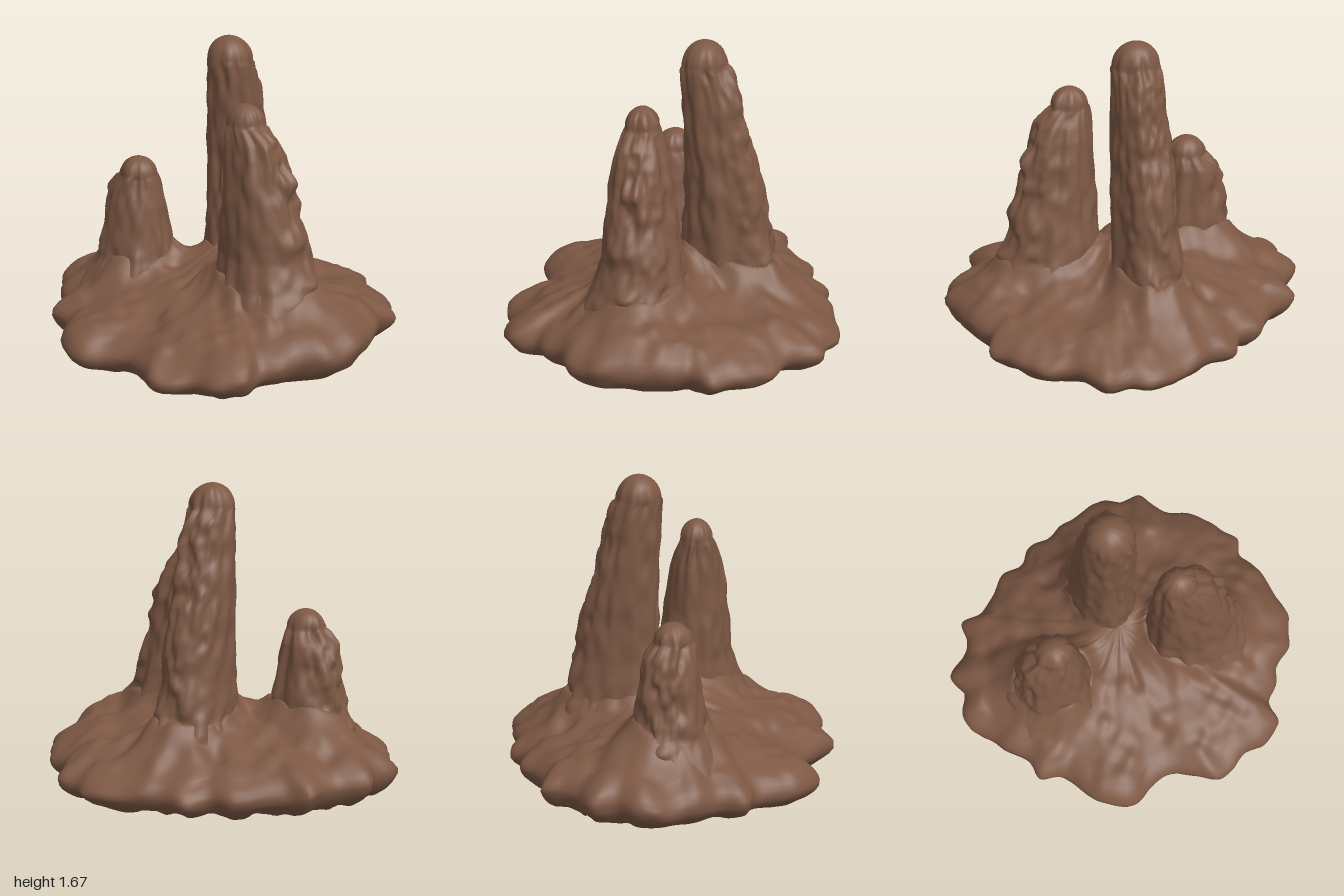
import * as THREE from 'three';

// Seeded value noise, range -1..1
const hash = (x, y, z) => {
  const s = Math.sin(x * 127.1 + y * 311.7 + z * 74.7) * 43758.5453;
  return (s - Math.floor(s)) * 2 - 1;
};
const lerp = THREE.MathUtils.lerp;
function noise(x, y, z) {
  const i = Math.floor(x), j = Math.floor(y), k = Math.floor(z);
  const f = t => t * t * (3 - 2 * t);
  const u = f(x - i), v = f(y - j), w = f(z - k);
  const row = (b, c) => lerp(hash(i, j + b, k + c), hash(i + 1, j + b, k + c), u);
  return lerp(lerp(row(0, 0), row(1, 0), v), lerp(row(0, 1), row(1, 1), v), w);
}

// Smooth skin over closed rings of [x, y, z] points
function skin(rings) {
  const n = rings[0].length, index = [];
  for (let r = 0; r < rings.length - 1; r++) {
    for (let i = 0; i < n; i++) {
      const a = r * n + i, b = r * n + (i + 1) % n;
      index.push(a, a + n, b, b, a + n, b + n);
    }
  }
  const g = new THREE.BufferGeometry();
  g.setAttribute('position', new THREE.Float32BufferAttribute(rings.flat(2), 3));
  g.setIndex(index);
  g.computeVertexNormals();
  return g;
}

// Lobed outline of the mound, x and z in turn
const OUTLINE = [
  1.0, 0.17, 0.95, 0.32, 0.83, 0.42, 0.79, 0.52, 0.72, 0.6, 0.73, 0.73, 0.62, 0.82, 0.48, 0.84,
  0.39, 0.9, 0.29, 0.93, 0.18, 0.87, 0.05, 0.82, -0.08, 0.85, -0.2, 0.92, -0.38, 0.87, -0.45, 0.78,
  -0.55, 0.65, -0.68, 0.62, -0.71, 0.5, -0.82, 0.4, -0.87, 0.33, -0.97, 0.23, -1.0, 0.13,
  -0.95, 0.02, -1.0, -0.1, -0.91, -0.2, -0.86, -0.3, -0.85, -0.41, -0.73, -0.44, -0.62, -0.53,
  -0.53, -0.64, -0.41, -0.66, -0.33, -0.77, -0.2, -0.78, -0.1, -0.84, 0.05, -0.9, 0.19, -0.93,
  0.3, -0.88, 0.42, -0.88, 0.52, -0.73, 0.66, -0.69, 0.76, -0.6, 0.82, -0.5, 0.89, -0.42,
  0.86, -0.3, 0.91, -0.22, 0.95, -0.1, 0.97, 0.02,
];

// Each spire: body keys [y, xMin, xMax, zMin, zMax], dome height, weathered side
const SPIRES = [
  { name: 'tallSpire', dome: 0.13, out: [0, -1], keys: [
    [0.2, -0.34, 0.28, -0.72, 0.1], [0.34, -0.26, 0.21, -0.62, 0.05], [0.45, -0.21, 0.165, -0.55, 0.01],
    [0.6, -0.19, 0.15, -0.5, 0], [0.8, -0.175, 0.145, -0.46, -0.015], [1, -0.17, 0.135, -0.415, -0.02],
    [1.2, -0.165, 0.13, -0.355, -0.015], [1.38, -0.16, 0.125, -0.32, -0.005], [1.48, -0.15, 0.12, -0.28, 0],
    [1.55, -0.14, 0.11, -0.235, 0]] },
  { name: 'middleSpire', dome: 0.11, out: [0.95, -0.3], keys: [
    [0.2, 0.0, 0.84, -0.25, 0.5], [0.34, 0.08, 0.75, -0.18, 0.41], [0.45, 0.125, 0.695, -0.14, 0.35],
    [0.6, 0.14, 0.645, -0.11, 0.31], [0.8, 0.15, 0.595, -0.07, 0.295], [1, 0.155, 0.53, -0.04, 0.275],
    [1.12, 0.16, 0.5, -0.02, 0.255], [1.2, 0.165, 0.46, 0.005, 0.24], [1.25, 0.17, 0.41, 0.03, 0.23],
    [1.28, 0.175, 0.375, 0.045, 0.22]] },
  { name: 'shortSpire', dome: 0.1, out: [-1, -0.1], keys: [
    [0.2, -0.82, -0.1, -0.14, 0.51], [0.34, -0.74, -0.18, -0.07, 0.42], [0.45, -0.68, -0.225, -0.02, 0.36],
    [0.6, -0.65, -0.25, 0, 0.33], [0.74, -0.625, -0.27, 0.015, 0.31], [0.84, -0.59, -0.295, 0.03, 0.29],
    [0.88, -0.55, -0.305, 0.05, 0.28], [0.91, -0.525, -0.315, 0.07, 0.27]] },
];

// Height of the mound's upper face, swelling up to the foot of each spire
function moundTop(x, z, s) {
  let y = 0.385 - 0.2 * s ** 2.2 + 0.11 * x * x - 0.025 * Math.max(0, z);
  for (const { keys } of SPIRES) {
    const [, x0, x1, z0, z1] = keys[2];
    const rx = (x1 - x0) / 2, rz = (z1 - z0) / 2;
    const d = Math.hypot((x - (x0 + x1) / 2) / rx, (z - (z0 + z1) / 2) / rz) - 1;
    y += 0.12 * Math.exp(-Math.max(0, d) * (rx + rz) / 2 / 0.08);
  }
  // Broad lumps, small pits and creases running down the slope
  const a = Math.atan2(z, x), c = Math.cos(a), t = Math.sin(a);
  return y + Math.min(1, s * 4) * (0.035 * noise(x * 5 + 9, 1, z * 5) + 0.014 * noise(x * 13, 2, z * 13)
    + 0.016 * noise(c * 7, s * 3, t * 7));
}

function moundGeometry() {
  const pts = [];
  for (let i = 0; i < OUTLINE.length; i += 2) pts.push(new THREE.Vector3(OUTLINE[i], 0, OUTLINE[i + 1]));
  const edge = new THREE.CatmullRomCurve3(pts, true).getPoints(300).slice(0, 300);
  const rings = [];
  const low = (p, s) => 0.025 + (0.03 + 0.05 * p.x * p.x - 0.02 * p.z) * s ** 3;
  // Shallow underside with slanting grooves, from the middle outwards
  for (let k = 0; k <= 24; k++) {
    const s = 0.9 * k / 24;
    rings.push(edge.map(p => {
      const x = p.x * s, z = p.z * s;
      const y = low(p, s) + 0.016 * noise((x + z) * 5, 3, (z - x) * 13);
      return [x, Math.max(0, y), z];
    }));
  }
  // Rounded, tapering rim: [scale, share of the way up]
  for (const [s, t] of [[0.945, 0.1], [0.975, 0.22], [0.993, 0.35], [1, 0.48], [0.99, 0.62], [0.968, 0.76],
    [0.94, 0.88], [0.91, 0.96]]) {
    rings.push(edge.map(p => {
      const q = s + 0.022 * noise(p.x * 8, t * 3, p.z * 8) * (1 - Math.abs(t - 0.48));
      const r = Math.min(q, 1);
      return [p.x * r, lerp(low(p, s), moundTop(p.x * 0.9, p.z * 0.9, 0.9), t), p.z * r];
    }));
  }
  // Lumpy upper face, from the rim to the middle
  for (let k = 0; k <= 50; k++) {
    const s = 0.88 * (1 - k / 50);
    rings.push(edge.map(p => [p.x * s, moundTop(p.x * s, p.z * s, s), p.z * s]));
  }
  return skin(rings);
}

function spireGeometry({ keys, dome, out }, seed) {
  const rings = [], sides = 84;
  const addRing = (key, scale, y, rough) => {
    const [, x0, x1, z0, z1] = key;
    const cx = (x0 + x1) / 2, cz = (z0 + z1) / 2;
    const ring = [];
    for (let i = 0; i < sides; i++) {
      const a = i / sides * Math.PI * 2, c = Math.cos(a), s = Math.sin(a);
      const face = Math.max(0, c * out[0] + s * out[1]);
      // Vertical flutes all round, stacked drips on the weathered side
      const flute = 0.012 * noise(c * 3.5 + seed, y * 2, s * 3.5) + 0.011 * noise(c * 5, y * 9 + seed, s * 5);
      const drip = face * (0.022 * noise(c * 2 + seed, y * 10, s * 2) + 0.014 * noise(c * 5, y * 17, s * 5 + seed));
      const d = rough * (flute + drip);
      ring.push([cx + c * ((x1 - x0) / 2 * scale + d), y, cz + s * ((z1 - z0) / 2 * scale + d)]);
    }
    rings.push(ring);
  };
  for (let k = 0; k < keys.length - 1; k++) {
    const steps = Math.ceil((keys[k + 1][0] - keys[k][0]) / 0.015);
    for (let j = 0; j < steps; j++) {
      const key = keys[k].map((v, n) => lerp(v, keys[k + 1][n], j / steps));
      addRing(key, 1, key[0], key[0] < 0.5 ? 1.4 : 1.1);
    }
  }
  // Smooth rounded tip
  const top = keys[keys.length - 1];
  for (let j = 0; j <= 12; j++) {
    const a = j / 12 * Math.PI / 2;
    addRing(top, Math.cos(a), top[0] + dome * Math.sin(a), 0.5 * Math.cos(a) ** 2);
  }
  return skin(rings);
}

export function createModel() {
  const group = new THREE.Group();
  group.name = 'rockSpires';
  const rock = new THREE.MeshStandardMaterial({ color: 0x7d5844 });
  rock.name = 'brownRock';
  const add = (name, geometry) => {
    const mesh = new THREE.Mesh(geometry, rock);
    mesh.name = name;
    group.add(mesh);
  };
  add('mound', moundGeometry());
  SPIRES.forEach((spire, i) => add(spire.name, spireGeometry(spire, i * 17 + 5)));
  return group;
}
